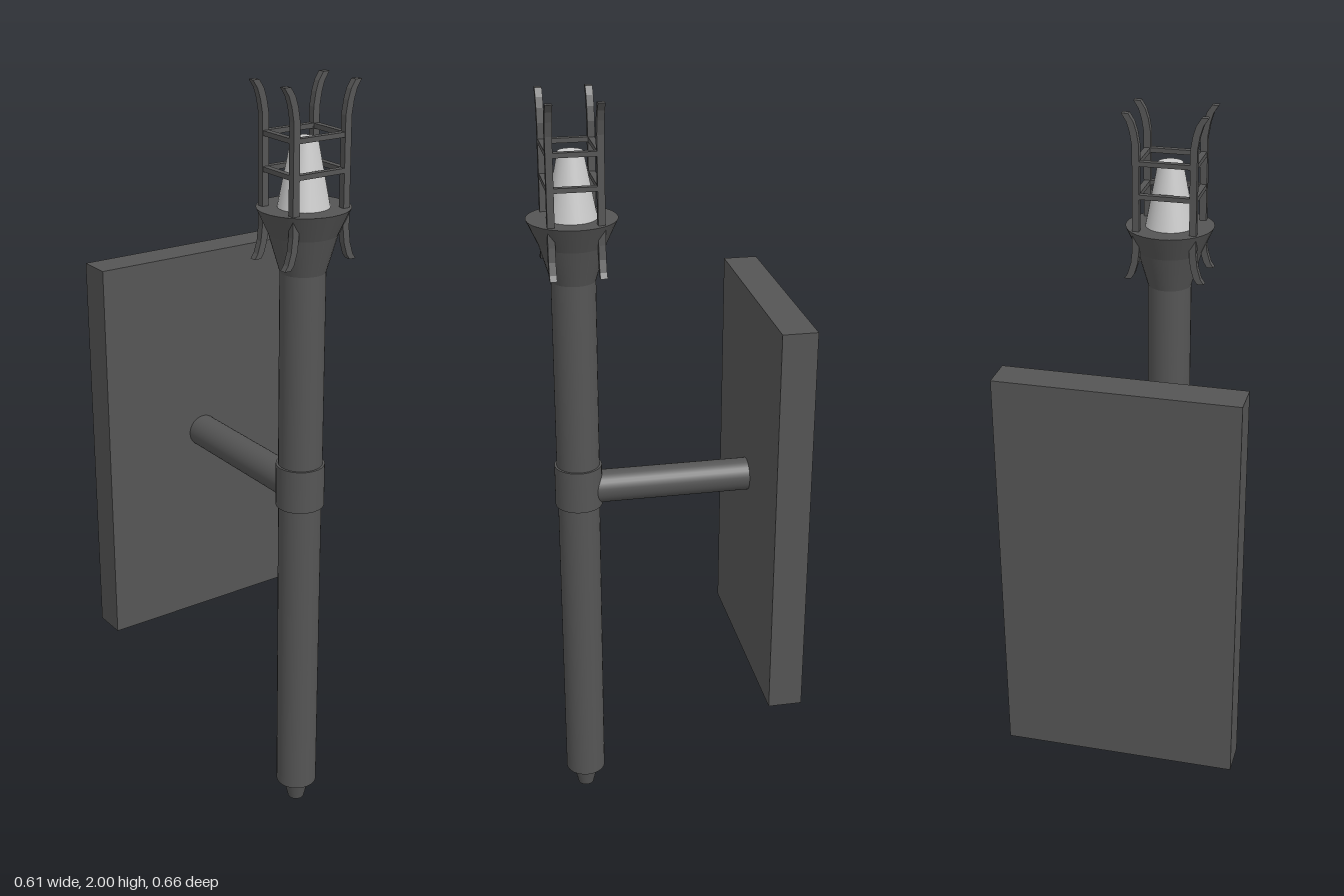
import * as THREE from 'three';

const CX = -0.006, CZ = 0.216; // axis of the pole

export function createModel() {
  const model = new THREE.Group();
  const iron = new THREE.MeshStandardMaterial({ color: 0x555555 });
  const pale = new THREE.MeshStandardMaterial({ color: 0xcccccc });

  const add = (name, geometry, material, x, y, z, parent = model) => {
    const mesh = new THREE.Mesh(geometry, material);
    mesh.name = name;
    mesh.position.set(x, y, z);
    parent.add(mesh);
    return mesh;
  };
  // Upright tapered cylinder on the pole axis, from y0 to y1
  const turned = (name, r0, r1, y0, y1, material = iron) =>
    add(name, new THREE.CylinderGeometry(r1, r0, y1 - y0, 32), material, CX, (y0 + y1) / 2, CZ);

  // Wall plate and the arm that carries the pole
  add('wallPlate', new THREE.BoxGeometry(0.61, 1.065, 0.09), iron, 0, 0.942, -0.288);
  const arm = add('arm', new THREE.CylinderGeometry(0.044, 0.044, 0.44, 32), iron, CX, 0.96, -0.04);
  arm.rotation.x = Math.PI / 2;

  // Pole
  turned('poleTip', 0.022, 0.036, 0, 0.06);
  turned('lowerPole', 0.055, 0.056, 0.06, 0.95);
  turned('upperPole', 0.057, 0.057, 0.95, 1.6);
  turned('poleBand', 0.063, 0.063, 0.915, 1.03);

  // Flared collar and the pale core standing on it
  turned('collarNeck', 0.057, 0.085, 1.54, 1.635);
  turned('collarRim', 0.085, 0.115, 1.635, 1.7);
  turned('core', 0.064, 0.032, 1.7, 1.865, pale);

  // Four prongs: hooked below the collar, straight, then flared at the top
  const cage = new THREE.Group();
  cage.name = 'cage';
  cage.position.set(CX, 0, CZ);
  model.add(cage);
  const halfX = 0.074, halfZ = 0.062, thick = 0.018;
  const centre = [ // outward offset, height
    [0.022, 1.572], [0.013, 1.585], [0.004, 1.615], [0, 1.65],
    [0, 1.92], [0.006, 1.955], [0.014, 1.98], [0.027, 2.0],
  ];
  const outline = new THREE.Shape([
    ...centre.map(([x, y]) => new THREE.Vector2(x + thick / 2, y)),
    ...[...centre].reverse().map(([x, y]) => new THREE.Vector2(x - thick / 2, y)),
  ]);
  const prong = new THREE.ExtrudeGeometry(outline, { depth: thick, bevelEnabled: false });
  prong.translate(0, 0, -thick / 2);
  for (const side of [1, -1]) {
    for (const end of [1, -1]) {
      const mesh = add('prong', prong, iron, side * halfX, 0, end * halfZ, cage);
      if (side < 0) mesh.rotation.y = Math.PI;
    }
  }

  // Two square frames of thin bars between the prongs
  const barX = new THREE.BoxGeometry(halfX * 2, 0.012, 0.016);
  const barZ = new THREE.BoxGeometry(0.016, 0.012, halfZ * 2);
  for (const y of [1.79, 1.875]) {
    for (const s of [1, -1]) {
      add('crossBar', barX, iron, 0, y, s * halfZ, cage);
      add('sideBar', barZ, iron, s * halfX, y, 0, cage);
    }
  }
  return model;
}
